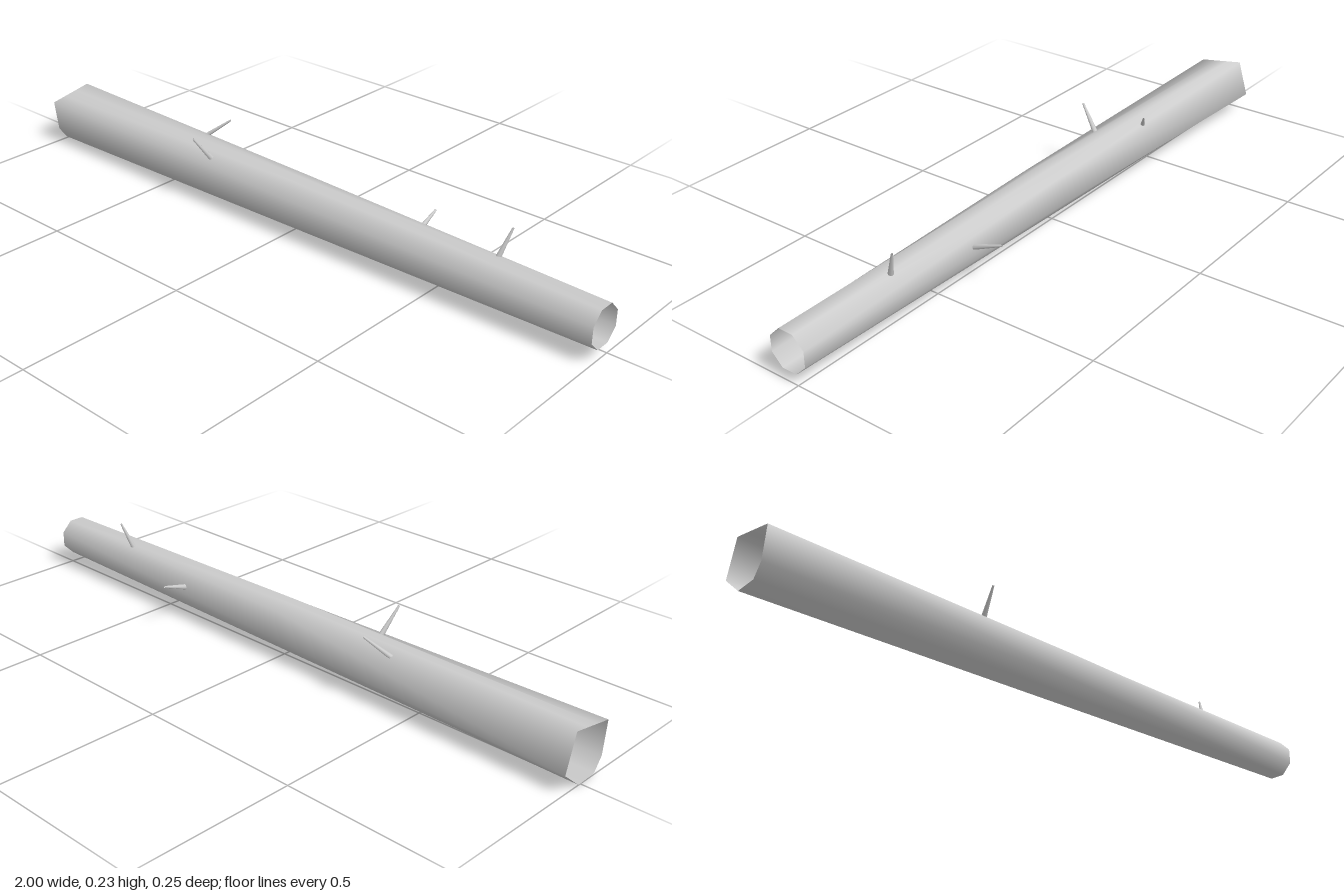
import * as THREE from 'three';

export function createModel() {
  const model = new THREE.Group();
  model.name = 'hollowLog';
  const bark = new THREE.MeshStandardMaterial({ color: 0xcccccc, side: THREE.DoubleSide });
  bark.name = 'bark grey';

  // Trunk: an open eight-sided tube lofted from cross-sections of [z, y] along x
  const butt = [[0.1, 0.138], [0.053, 0.146], [0.007, 0.154], [-0.04, 0.162],
    [-0.073, 0.054], [-0.007, 0.0], [0.06, 0.004], [0.088, 0.042]];
  const middle = [[0.097, 0.126], [0.046, 0.158], [0.01, 0.159], [-0.033, 0.146],
    [-0.045, 0.063], [-0.005, 0.017], [0.056, 0.018], [0.088, 0.052]];
  // Regular octagon at the thin end, starting at the front upper corner
  const tip = butt.map((_, i) => {
    const a = Math.PI / 8 + i * Math.PI / 4;
    return [0.026 + 0.061 * Math.cos(a), 0.0875 + 0.061 * Math.sin(a)];
  });

  // Normals point straight out from each ring's centre for smooth, round shading
  const rings = [[-1, butt], [0, middle], [1, tip]];
  const positions = [], normals = [], index = [];
  for (const [x, ring] of rings) {
    const cz = ring.reduce((sum, p) => sum + p[0], 0) / 8;
    const cy = ring.reduce((sum, p) => sum + p[1], 0) / 8;
    for (const [z, y] of ring) {
      const length = Math.hypot(y - cy, z - cz);
      positions.push(x, y, z);
      normals.push(0, (y - cy) / length, (z - cz) / length);
    }
  }
  for (let r = 0; r < rings.length - 1; r++) {
    for (let i = 0; i < 8; i++) {
      const a = r * 8 + i, c = r * 8 + (i + 1) % 8;
      index.push(a, a + 8, c, c, a + 8, c + 8);
    }
  }
  const geometry = new THREE.BufferGeometry();
  geometry.setAttribute('position', new THREE.Float32BufferAttribute(positions, 3));
  geometry.setAttribute('normal', new THREE.Float32BufferAttribute(normals, 3));
  geometry.setIndex(index);
  const trunk = new THREE.Mesh(geometry, bark);
  trunk.name = 'trunk';
  model.add(trunk);

  // Twigs: thin tapered stubs growing from the trunk's core
  const up = new THREE.Vector3(0, 1, 0);
  const addTwig = (name, baseX, end) => {
    const from = new THREE.Vector3(baseX, 0.084, 0.022);
    const to = new THREE.Vector3(...end);
    const along = to.clone().sub(from);
    const twig = new THREE.Mesh(
      new THREE.CylinderGeometry(0.003, 0.012, along.length(), 8, 1, true), bark);
    twig.position.copy(from).add(to).multiplyScalar(0.5);
    twig.quaternion.setFromUnitVectors(up, along.normalize());
    twig.name = name;
    model.add(twig);
  };
  addTwig('frontTwig', -0.295, [-0.32, 0.217, 0.121]);
  addTwig('topTwig', 0.655, [0.69, 0.224, -0.029]);
  addTwig('slantedTwig', -0.5, [-0.36, 0.203, -0.073]);
  addTwig('backTwig', 0.395, [0.38, 0.133, -0.123]);

  return model;
}
